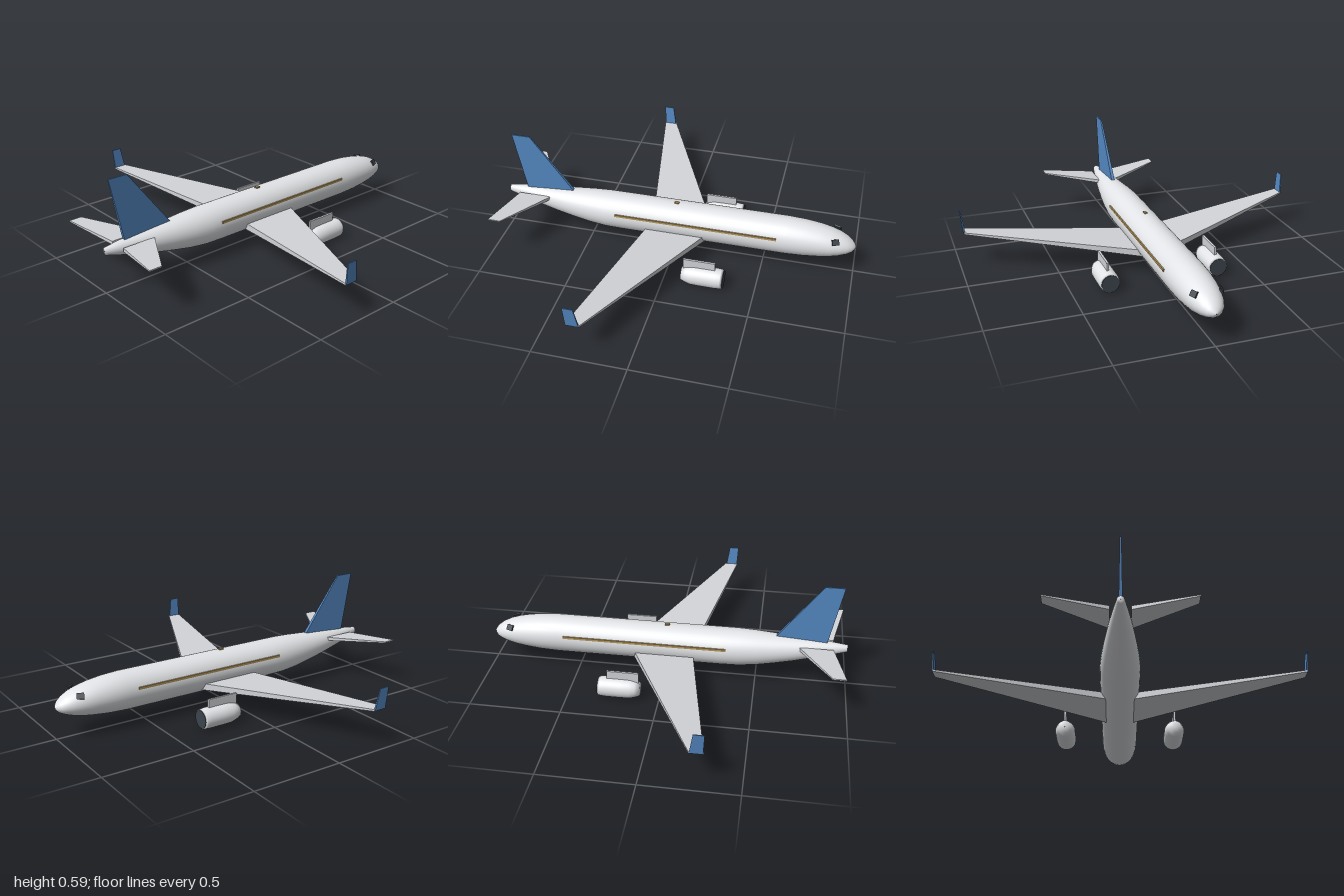
import * as THREE from 'three';
import { mergeVertices } from 'three/addons/utils/BufferGeometryUtils.js';
import { ConvexGeometry } from 'three/addons/geometries/ConvexGeometry.js';

const paint = (name, color) => {
  const m = new THREE.MeshStandardMaterial({ color });
  m.name = name;
  return m;
};

export function createModel() {
  const white = paint('body white', 0xe9ebee);
  const grey = paint('wing grey', 0xd2d4d8);
  const blue = paint('tail blue', 0x5387c0);
  const gold = paint('trim gold', 0xb3965c);
  const dark = paint('glass dark', 0x3c444c);

  const model = new THREE.Group();
  const add = (name, geometry, material, parent = model) => {
    const mesh = new THREE.Mesh(geometry, material);
    mesh.name = name;
    parent.add(mesh);
    return mesh;
  };

  // Flat-faced tapered panel through a set of corners; side mirrors z
  const panel = (corners, side = 1) =>
    new ConvexGeometry(corners.map(([x, y, z]) => new THREE.Vector3(x, y, z * side)));

  // Fuselage cross-sections: x, top, bottom, half width
  const stations = [
    [-0.99, 0.236, 0.234, 0.001], [-0.99, 0.254, 0.214, 0.018], [-0.9, 0.264, 0.188, 0.036],
    [-0.8, 0.271, 0.163, 0.054], [-0.7, 0.278, 0.138, 0.07], [-0.6, 0.284, 0.117, 0.084],
    [-0.5, 0.291, 0.098, 0.096], [-0.4, 0.295, 0.087, 0.104], [-0.3, 0.295, 0.085, 0.105],
    [0.62, 0.295, 0.085, 0.105], [0.72, 0.289, 0.09, 0.103], [0.8, 0.278, 0.099, 0.097],
    [0.86, 0.265, 0.108, 0.089], [0.91, 0.249, 0.12, 0.076], [0.95, 0.229, 0.134, 0.06],
    [0.977, 0.208, 0.147, 0.041], [0.992, 0.19, 0.161, 0.019], [0.999, 0.177, 0.174, 0.002],
  ];
  let body = new THREE.CylinderGeometry(1, 1, 1, 40, stations.length - 1, true);
  body.deleteAttribute('uv');
  body.deleteAttribute('normal');
  const p = body.attributes.position;
  for (let i = 0; i < p.count; i++) {
    const [x, top, bottom, half] = stations[Math.round((p.getY(i) + 0.5) * (stations.length - 1))];
    p.setXYZ(i, x, (top + bottom) / 2 - p.getX(i) * (top - bottom) / 2, p.getZ(i) * half);
  }
  body = mergeVertices(body, 1e-5);
  body.computeVertexNormals();
  add('fuselage', body, white);

  // Tail fin
  const fin = [];
  for (const s of [-1, 1]) {
    fin.push([-0.945, 0.6, s * 0.004], [-0.84, 0.6, s * 0.004],
      [-0.58, 0.25, s * 0.01], [-0.877, 0.25, s * 0.01]);
  }
  add('tailFin', panel(fin), blue);

  // Roof beacon
  add('roofBeacon', new THREE.BoxGeometry(0.026, 0.012, 0.016), gold).position.set(0, 0.295, 0);

  for (const side of [1, -1]) {
    const half = new THREE.Group();
    half.name = side > 0 ? 'leftHalf' : 'rightHalf';
    model.add(half);

    // Swept wing with slight dihedral
    add('wing', panel([
      [0.189, 0.115, 0.05], [0.189, 0.153, 0.05], [-0.15, 0.115, 0.05], [-0.15, 0.153, 0.05],
      [-0.242, 0.202, 0.968], [-0.242, 0.212, 0.968], [-0.315, 0.202, 0.968], [-0.315, 0.212, 0.968],
    ], side), grey, half);

    // Winglet
    add('winglet', panel([
      [-0.245, 0.204, 0.962], [-0.312, 0.204, 0.962], [-0.245, 0.204, 0.971], [-0.312, 0.204, 0.971],
      [-0.263, 0.32, 0.975], [-0.318, 0.32, 0.975], [-0.263, 0.32, 0.98], [-0.318, 0.32, 0.98],
    ], side), blue, half);

    // Tailplane
    add('tailplane', panel([
      [-0.73, 0.226, 0.05], [-0.73, 0.246, 0.05], [-0.915, 0.226, 0.05], [-0.915, 0.246, 0.05],
      [-0.905, 0.262, 0.36], [-0.905, 0.269, 0.36], [-0.975, 0.262, 0.36], [-0.975, 0.269, 0.36],
    ], side), grey, half);

    // Engine nacelle, intake and pylon
    const engine = new THREE.Group();
    engine.name = 'engine';
    engine.position.z = side * 0.305;
    half.add(engine);
    const profile = [[0.001, 0.102], [0.037, 0.102], [0.047, 0.128], [0.055, 0.158], [0.056, 0.21],
      [0.056, 0.29], [0.054, 0.318], [0.051, 0.33], [0.001, 0.33]];
    const nacelle = add('nacelle', new THREE.LatheGeometry(
      profile.map(([r, x]) => new THREE.Vector2(r, x)), 32), white, engine);
    nacelle.rotation.z = -Math.PI / 2;
    nacelle.position.y = 0.062;
    const intake = add('intake', new THREE.CylinderGeometry(0.049, 0.049, 0.004, 32), dark, engine);
    intake.rotation.z = -Math.PI / 2;
    intake.position.set(0.331, 0.062, 0);
    const outline = new THREE.Shape([[0.11, 0.1], [0.285, 0.112], [0.285, 0.162], [0.11, 0.162]]
      .map(([x, y]) => new THREE.Vector2(x, y)));
    add('pylon', new THREE.ExtrudeGeometry(outline, { depth: 0.012, bevelEnabled: false }),
      grey, engine).position.z = -0.006;

    // Cabin stripe and cockpit window
    add('cabinStripe', new THREE.BoxGeometry(0.91, 0.013, 0.009), gold, half)
      .position.set(0.12, 0.22, side * 0.101);
    const pane = add('cockpitWindow', new THREE.BoxGeometry(0.038, 0.032, 0.009), dark, half);
    pane.position.set(0.888, 0.238, side * 0.07);
    pane.lookAt(0.888 + 0.35, 0.238 + 0.55, side * (0.07 + 0.8));
  }
  return model;
}
